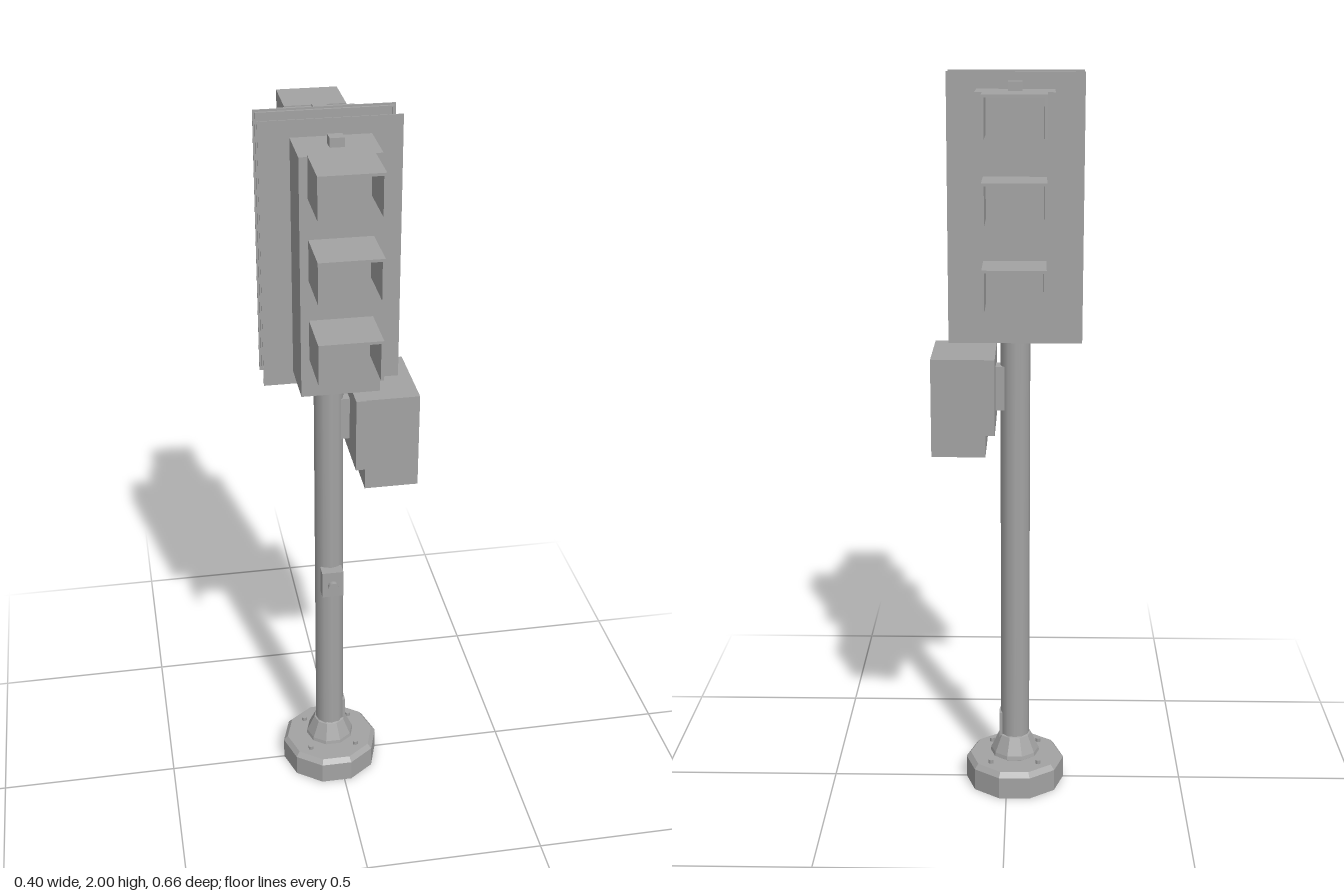
import * as THREE from 'three';

const POLE_X = -0.023;

export function createModel() {
  const model = new THREE.Group();
  model.name = 'trafficSignal';
  const grey = new THREE.MeshStandardMaterial({ color: 0xa3a3a3 });
  grey.name = 'paintedGrey';
  const facetGrey = grey.clone();
  facetGrey.flatShading = true;
  facetGrey.side = THREE.DoubleSide;
  facetGrey.name = 'facetedGrey';

  const add = (parent, name, geometry, x, y, z, material = grey) => {
    const mesh = new THREE.Mesh(geometry, material);
    mesh.name = name;
    mesh.position.set(x, y, z);
    parent.add(mesh);
    return mesh;
  };
  // Box given by its limits on each axis
  const box = (parent, name, [x0, x1], [y0, y1], [z0, z1]) =>
    add(parent, name, new THREE.BoxGeometry(x1 - x0, y1 - y0, z1 - z0),
      (x0 + x1) / 2, (y0 + y1) / 2, (z0 + z1) / 2);
  const lathe = (name, profile, sides) =>
    add(model, name, new THREE.LatheGeometry(
      profile.map(([r, y]) => new THREE.Vector2(r, y)), sides, Math.PI / 2), POLE_X, 0, 0, facetGrey);

  // Ten-sided hollow foot, then the flared collar
  lathe('foot', [[0, 0.055], [0.125, 0.055], [0.135, 0], [0.14, 0], [0.14, 0.063], [0.128, 0.077], [0, 0.077]], 10);
  lathe('collar', [[0.058, 0.077], [0.058, 0.085], [0.07, 0.085], [0.068, 0.095], [0.046, 0.143], [0.038, 0.146]], 10);
  for (let i = 0; i < 4; i++) {
    const a = Math.PI / 4 + i * Math.PI / 2;
    add(model, 'anchorBolt', new THREE.CylinderGeometry(0.008, 0.008, 0.014, 6),
      POLE_X + 0.095 * Math.cos(a), 0.081, 0.095 * Math.sin(a));
  }

  // Pole with clamps and access cover
  add(model, 'pole', new THREE.CylinderGeometry(0.039, 0.041, 1.885, 12), POLE_X, 1.0225, 0);
  for (const y of [1.345, 1.947]) {
    add(model, 'poleClamp', new THREE.CylinderGeometry(0.045, 0.045, 0.03, 8).rotateY(Math.PI / 8), POLE_X, y, 0, facetGrey);
  }
  box(model, 'accessCover', [0.01, 0.021], [0.1, 0.21], [-0.02, 0.02]);

  // Push button on the front of the pole
  box(model, 'buttonPlate', [-0.053, 0.007], [0.625, 0.705], [0.03, 0.066]);
  add(model, 'pushButton', new THREE.CylinderGeometry(0.014, 0.014, 0.014, 12).rotateX(Math.PI / 2), POLE_X, 0.663, 0.072);

  // Control cabinet and its mounting
  box(model, 'cabinet', [0.055, 0.199], [1.005, 1.27], [-0.117, 0.117]);
  box(model, 'cabinetMount', [0.03, 0.057], [1.065, 1.27], [-0.12, 0.12]);
  box(model, 'cabinetBracket', [0, 0.035], [1.11, 1.23], [-0.025, 0.025]);

  // Two signal heads, back to back
  for (const side of [1, -1]) {
    const head = new THREE.Group();
    head.name = side > 0 ? 'frontSignal' : 'rearSignal';
    if (side < 0) {
      head.rotation.y = Math.PI;
      head.position.x = 2 * POLE_X;
    }
    box(head, 'backplate', [-0.2, 0.154], [1.3, 2], [0.044, 0.047]);
    // Folded rim around the backplate
    for (const x of [-0.195, 0.145]) box(head, 'backplateRim', [x, x + 0.004], [1.305, 1.995], [0.037, 0.044]);
    for (const y of [1.305, 1.991]) box(head, 'backplateRim', [-0.195, 0.149], [y, y + 0.004], [0.037, 0.044]);
    box(head, 'housing', [-0.123, 0.077], [1.335, 1.957], [0.04, 0.189]);
    box(head, 'topKnob', [-0.041, -0.005], [1.957, 1.98], [0.101, 0.135]);
    // Three open hoods, each a top and two cheeks
    for (const y of [1.96, 1.753, 1.543]) {
      box(head, 'hoodTop', [-0.102, 0.057], [y - 0.007, y], [0.188, 0.331]);
      for (const x of [-0.102, 0.05]) box(head, 'hoodCheek', [x, x + 0.007], [y - 0.105, y - 0.007], [0.188, 0.331]);
    }
    model.add(head);
  }
  return model;
}
